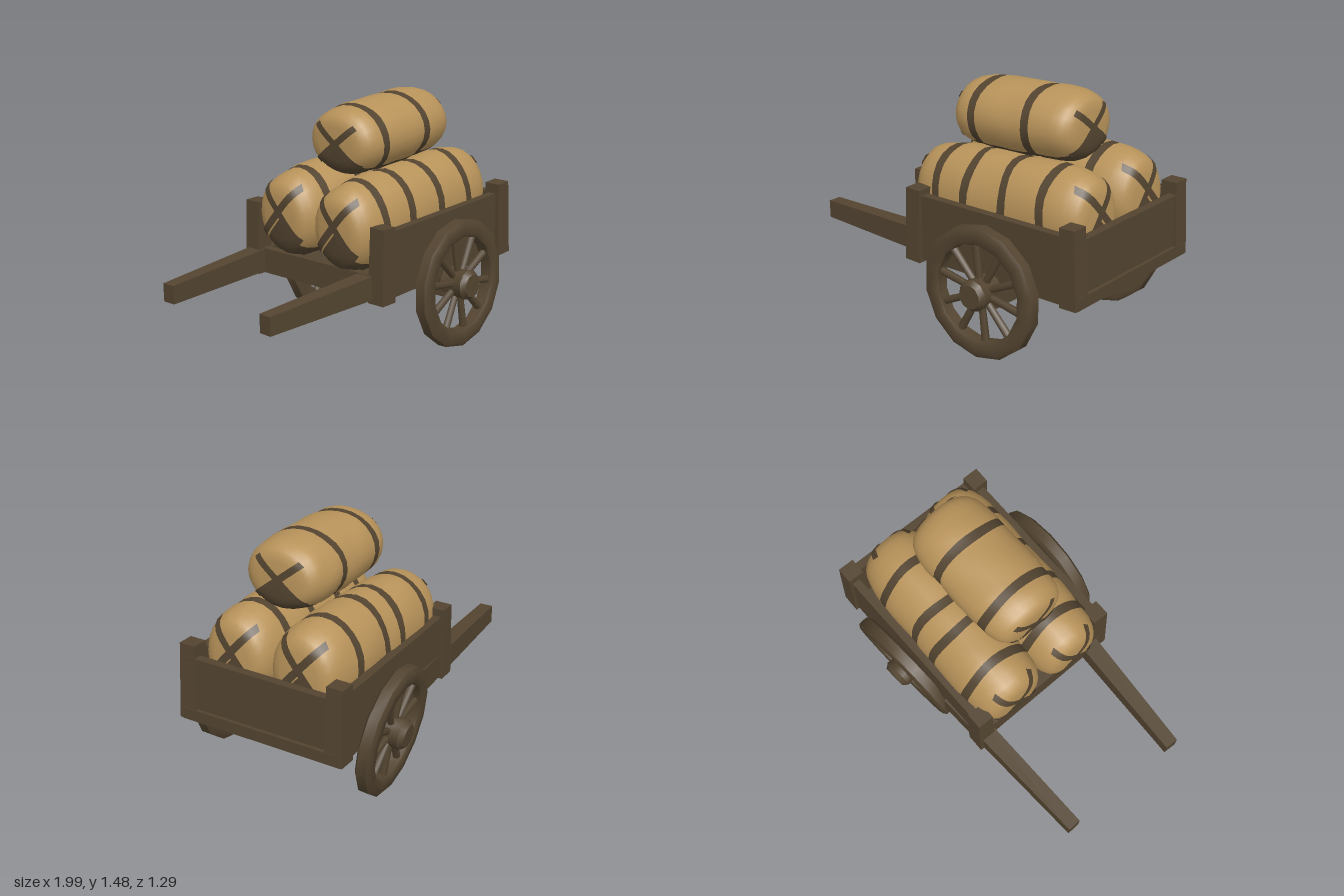
import * as THREE from 'three';
import { toCreasedNormals } from 'three/addons/utils/BufferGeometryUtils.js';

const wood = new THREE.MeshStandardMaterial({ color: 0x534430, side: THREE.DoubleSide });
wood.name = 'darkBrown';
const cloth = new THREE.MeshStandardMaterial({ color: 0xb8935a });
cloth.name = 'tanCloth';

const V = (x, y, z) => new THREE.Vector3(x, y, z);

function add(parent, name, geo, mat = wood) {
  const m = new THREE.Mesh(geo, mat);
  m.name = name;
  parent.add(m);
  return m;
}

// Square timber from a to b, width w, height h, far end scaled by taper
function beam(parent, name, a, b, w, h, taper = 1) {
  const len = a.distanceTo(b);
  const geo = new THREE.BoxGeometry(w, h, len);
  const p = geo.attributes.position;
  for (let i = 0; i < p.count; i++) {
    if (p.getZ(i) > 0) p.setXY(i, p.getX(i) * taper, p.getY(i) * taper);
  }
  geo.computeVertexNormals();
  const m = add(parent, name, geo);
  m.position.copy(a).lerp(b, 0.5);
  m.lookAt(b);
  return m;
}

// Spoked wheel with its axis along z
function wheel(name) {
  const g = new THREE.Group();
  g.name = name;
  const profile = [[0.285, -0.035], [0.3, -0.045], [0.36, -0.045], [0.383, -0.03], [0.383, 0.03],
    [0.36, 0.045], [0.3, 0.045], [0.285, 0.035], [0.285, -0.035]].map(([r, y]) => new THREE.Vector2(r, y));
  const rim = new THREE.LatheGeometry(profile, 14).rotateX(Math.PI / 2);
  add(g, 'rim', toCreasedNormals(rim, 0.6));
  const hubProfile = [[0, -0.1], [0.07, -0.1], [0.092, -0.07], [0.085, 0], [0.092, 0.07], [0.07, 0.1], [0, 0.1]]
    .map(([r, y]) => new THREE.Vector2(r, y));
  add(g, 'hub', toCreasedNormals(new THREE.LatheGeometry(hubProfile, 10).rotateX(Math.PI / 2), 0.7));
  for (let i = 0; i < 10; i++) {
    const spoke = new THREE.CylinderGeometry(0.024, 0.02, 0.25, 6).translate(0, 0.18, 0);
    add(g, 'spoke', spoke).rotation.z = (i / 10) * Math.PI * 2 + 0.15;
  }
  return g;
}

// Stuffed bale lying along x, with strap bands and crossed straps on both ends
function bale(name, L, ry, rz, straps, crossLift) {
  const g = new THREE.Group();
  g.name = name;
  const P = 5, N = 24, HALF = 0.027 / L;
  const point = (t, v, w) => {
    const k = 1 + 0.018 * Math.sin(t * 9 + v * 3) * Math.cos(w * 4 + t * 2);
    return [t * L, v * ry * k, w * rz * k];
  };
  const bands = straps.map(x => x / L);
  const inBand = (t, pad) => bands.some(b => Math.abs(t - b) < HALF + pad);
  const half = [0.2, 0.4, 0.55, 0.7, 0.8, 0.88, 0.94, 0.975, 0.995, 1];
  const stations = [0, ...half, ...half.map(t => -t)].filter(t => !inBand(t, 0.02));
  bands.forEach(b => stations.push(b - HALF, b + HALF));
  stations.sort((a, b) => a - b);

  const pos = [], tan = [], dark = [];
  stations.forEach(t => {
    const r = Math.pow(Math.max(0, 1 - Math.abs(t) ** P), 1 / P) * (inBand(t, 0.001) ? 0.985 : 1);
    for (let j = 0; j < N; j++) {
      const a = (j / N) * Math.PI * 2;
      // straps waver slightly around the bale
      const shift = inBand(t, 0.001) ? 0.012 * Math.sin(a * 3 + t * 5) : 0;
      pos.push(...point(t + shift, r * Math.sin(a), r * Math.cos(a)));
    }
  });
  for (let i = 0; i < stations.length - 1; i++) {
    const mid = (stations[i] + stations[i + 1]) / 2;
    for (let j = 0; j < N; j++) {
      const k = (j + 1) % N, a = i * N + j, b = a + N, c = (i + 1) * N + k, d = i * N + k;
      const under = Math.sin(((j + 0.5) / N) * Math.PI * 2) < -0.72;
      (under || inBand(mid, 0) ? dark : tan).push(a, b, c, a, c, d);
    }
  }
  const geo = new THREE.BufferGeometry();
  geo.setAttribute('position', new THREE.Float32BufferAttribute(pos, 3));
  geo.setIndex([...tan, ...dark]);
  geo.addGroup(0, tan.length, 0);
  geo.addGroup(tan.length, dark.length, 1);
  geo.computeVertexNormals();
  add(g, 'bale', geo, [cloth, wood]);

  // Crossed straps following the domed ends
  for (const end of [-1, 1]) for (const lean of [-1, 1]) {
    const p = [], idx = [], S = 16;
    for (let i = 0; i <= S; i++) {
      const s = -0.85 + (1.6 * i) / S;
      for (const e of [-0.085, 0.085]) {
        let v = s * 0.71 + e * 0.71 + crossLift, w = lean * (s * 0.71 - e * 0.71);
        const rho = Math.min(Math.hypot(v, w), 0.97);
        const t = end * Math.pow(1 - rho ** P, 1 / P);
        p.push(...point(t, v, w).map(c => c * 1.014));
      }
      if (i < S) {
        const a = i * 2;
        if (end * lean < 0) idx.push(a, a + 2, a + 1, a + 1, a + 2, a + 3);
        else idx.push(a, a + 1, a + 2, a + 1, a + 3, a + 2);
      }
    }
    const ribbon = new THREE.BufferGeometry();
    ribbon.setAttribute('position', new THREE.Float32BufferAttribute(p, 3));
    ribbon.setIndex(idx);
    ribbon.computeVertexNormals();
    add(g, 'endStrap', ribbon);
  }
  return g;
}

export function createModel() {
  const model = new THREE.Group();
  model.name = 'handCart';

  // Cart body
  const body = new THREE.Group();
  body.name = 'cartBody';
  model.add(body);
  beam(body, 'floor', V(-0.22, 0.455, -0.025), V(0.96, 0.475, -0.03), 0.94, 0.05);
  beam(body, 'leftSideBoard', V(-0.2, 0.62, 0.435), V(0.95, 0.645, 0.425), 0.05, 0.39);
  beam(body, 'rightSideBoard', V(-0.24, 0.62, -0.49), V(0.95, 0.645, -0.515), 0.05, 0.39);
  beam(body, 'endBoard', V(0.945, 0.64, 0.44), V(0.945, 0.64, -0.52), 0.05, 0.38);
  beam(body, 'lowEndBoard', V(-0.21, 0.5, 0.43), V(-0.23, 0.5, -0.48), 0.05, 0.15);
  beam(body, 'bottomRail', V(0.965, 0.485, 0.46), V(0.965, 0.485, -0.55), 0.05, 0.07);

  // Corner posts
  [[-0.18, 0.41, 0.43, -0.175, 0.85], [-0.235, 0.42, -0.48, -0.235, 0.86],
    [0.935, 0.45, 0.425, 0.915, 0.9], [0.935, 0.45, -0.505, 0.92, 0.9]].forEach(([x, y0, z, x1, y1]) =>
    beam(body, 'cornerPost', V(x, y0, z), V(x1, y1, z), 0.11, 0.11, 0.9));

  // Pull shafts
  beam(model, 'leftShaft', V(0.05, 0.51, 0.365), V(-1, 0.48, 0.325), 0.11, 0.15, 0.72);
  beam(model, 'rightShaft', V(0.05, 0.51, -0.48), V(-1, 0.48, -0.425), 0.11, 0.15, 0.72);

  // Axle and wheels
  beam(model, 'axle', V(0.4, 0.39, 0.52), V(0.4, 0.385, -0.52), 0.17, 0.12);
  const leftWheel = wheel('leftWheel');
  leftWheel.position.set(0.39, 0.41, 0.543);
  leftWheel.rotation.set(-0.03, 0.02, 0);
  const rightWheel = wheel('rightWheel');
  rightWheel.position.set(0.42, 0.385, -0.54);
  rightWheel.rotation.set(-0.13, 0.07, 0);
  model.add(leftWheel, rightWheel);

  // Cargo
  const lowerLeft = bale('lowerLeftBale', 0.605, 0.275, 0.23, [-0.39, -0.17, 0.09, 0.36], 0.16);
  lowerLeft.position.set(0.31, 0.82, 0.175);
  lowerLeft.rotation.z = 0.06;
  const lowerRight = bale('lowerRightBale', 0.605, 0.275, 0.235, [-0.39, -0.11, 0.06, 0.35], 0.16);
  lowerRight.position.set(0.31, 0.83, -0.25);
  lowerRight.rotation.z = 0.06;
  const upper = bale('upperBale', 0.415, 0.205, 0.25, [-0.24, 0.13], 0);
  upper.position.set(0.3, 1.265, 0.01);
  upper.rotation.set(0, 0.03, 0.05);
  model.add(lowerLeft, lowerRight, upper);

  return model;
}
